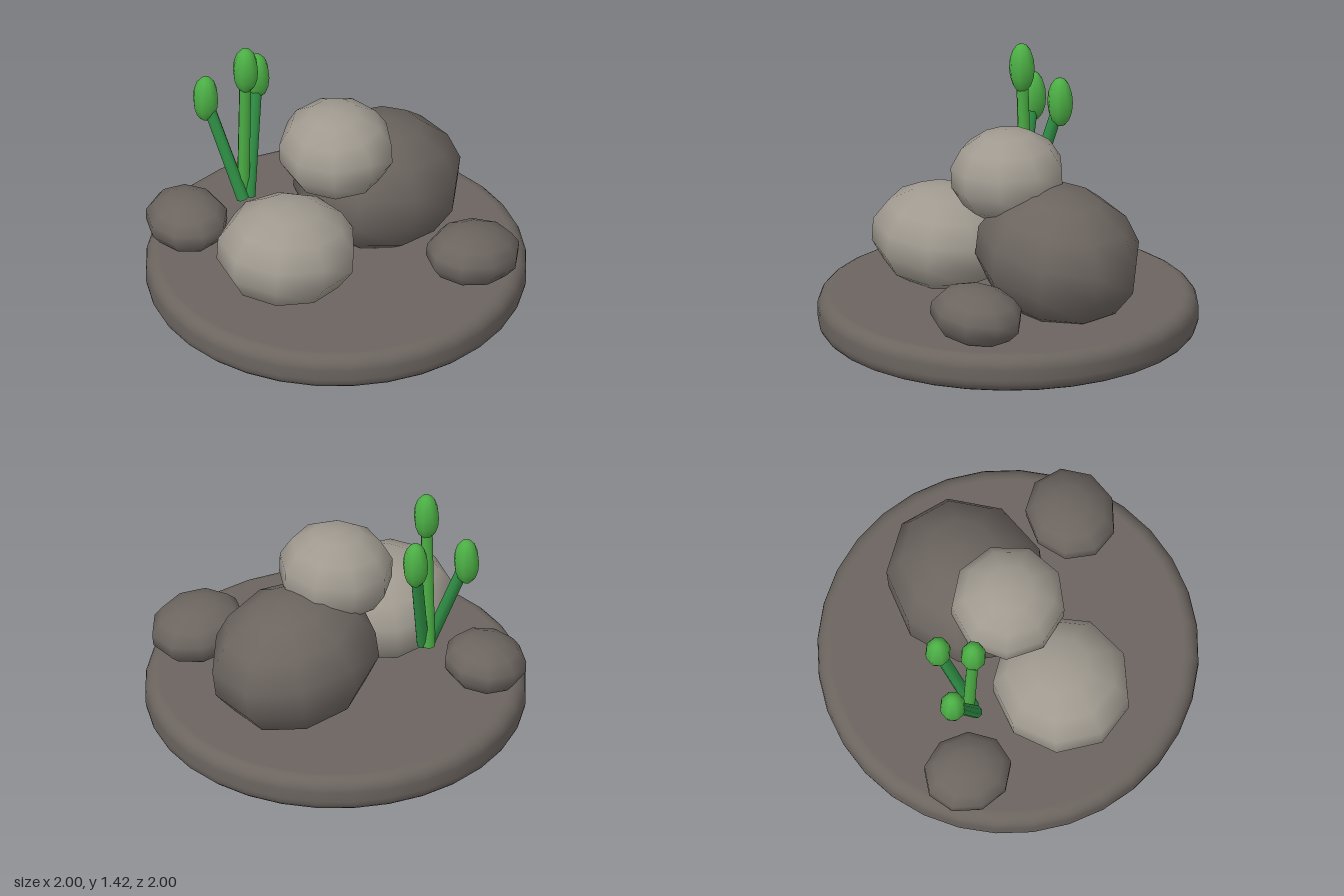
import * as THREE from 'three';

const mat = (name, color) => {
  const m = new THREE.MeshStandardMaterial({ color });
  m.name = name;
  return m;
};

export function createModel() {
  const group = new THREE.Group();
  const darkStone = mat('dark stone', 0x6b645f);
  const lightStone = mat('light stone', 0xa09a90);
  const stemGreen = mat('stem green', 0x2f8f45);
  const budGreen = mat('bud green', 0x4caf45);

  const add = (name, geometry, material) => {
    const mesh = new THREE.Mesh(geometry, material);
    mesh.name = name;
    group.add(mesh);
    return mesh;
  };

  // Round slab with softened rims
  const h = 0.205, b = 0.075;
  const profile = [new THREE.Vector2(0, 0)];
  for (let i = 0; i <= 5; i++) {
    const a = -Math.PI / 2 + (i / 5) * Math.PI / 2;
    profile.push(new THREE.Vector2(1 - b + b * Math.cos(a), b + b * Math.sin(a)));
  }
  for (let i = 0; i <= 5; i++) {
    const a = (i / 5) * Math.PI / 2;
    profile.push(new THREE.Vector2(1 - b + b * Math.cos(a), h - b + b * Math.sin(a)));
  }
  profile.push(new THREE.Vector2(0, h));
  add('base', new THREE.LatheGeometry(profile, 32), darkStone);

  // Boulders: coarse smooth spheres, squashed, turned and slightly tilted
  const rocks = [
    ['largeRock', darkStone, [0.31, 0.49, -0.12], [0.475, 0.365, 0.415], 0.2, -0.15],
    ['paleRock', lightStone, [-0.378, 0.44, 0.17], [0.385, 0.275, 0.365], 0.26, -0.08],
    ['topRock', lightStone, [0, 0.86, 0], [0.305, 0.25, 0.31], 0.35, 0.05],
    ['frontPebble', darkStone, [0.535, 0.35, 0.53], [0.265, 0.15, 0.235], 0.19, -0.12],
    ['backPebble', darkStone, [-0.65, 0.34, -0.445], [0.215, 0.142, 0.24], 0.05, 0.05],
  ];
  const rockGeometry = new THREE.SphereGeometry(1, 9, 7);
  for (const [name, material, position, size, turn, tilt] of rocks) {
    const rock = add(name, rockGeometry, material);
    rock.position.set(...position);
    rock.scale.set(...size);
    rock.rotation.set(0, turn, tilt);
  }

  // Sprouts: a straight stem from the shared root to an upright oval bud
  const sprouts = [
    ['middle', [-0.37, 0.47, -0.345], [-0.37, 1.28, -0.318], budGreen],
    ['right', [-0.39, 0.47, -0.31], [-0.52, 1.045, -0.483], stemGreen],
    ['left', [-0.35, 0.47, -0.315], [-0.227, 1.105, -0.465], stemGreen],
  ];
  const up = new THREE.Vector3(0, 1, 0);
  const budGeometry = new THREE.SphereGeometry(1, 8, 8);
  for (const [side, from, to, material] of sprouts) {
    const root = new THREE.Vector3(...from), tip = new THREE.Vector3(...to);
    const dir = tip.clone().sub(root);
    const stem = add(side + 'Stem', new THREE.CylinderGeometry(0.032, 0.034, dir.length(), 8), material);
    stem.position.copy(root).add(tip).multiplyScalar(0.5);
    stem.quaternion.setFromUnitVectors(up, dir.normalize());
    const bud = add(side + 'Bud', budGeometry, budGreen);
    bud.position.copy(tip);
    bud.scale.set(0.069, 0.136, 0.069);
  }
  return group;
}
